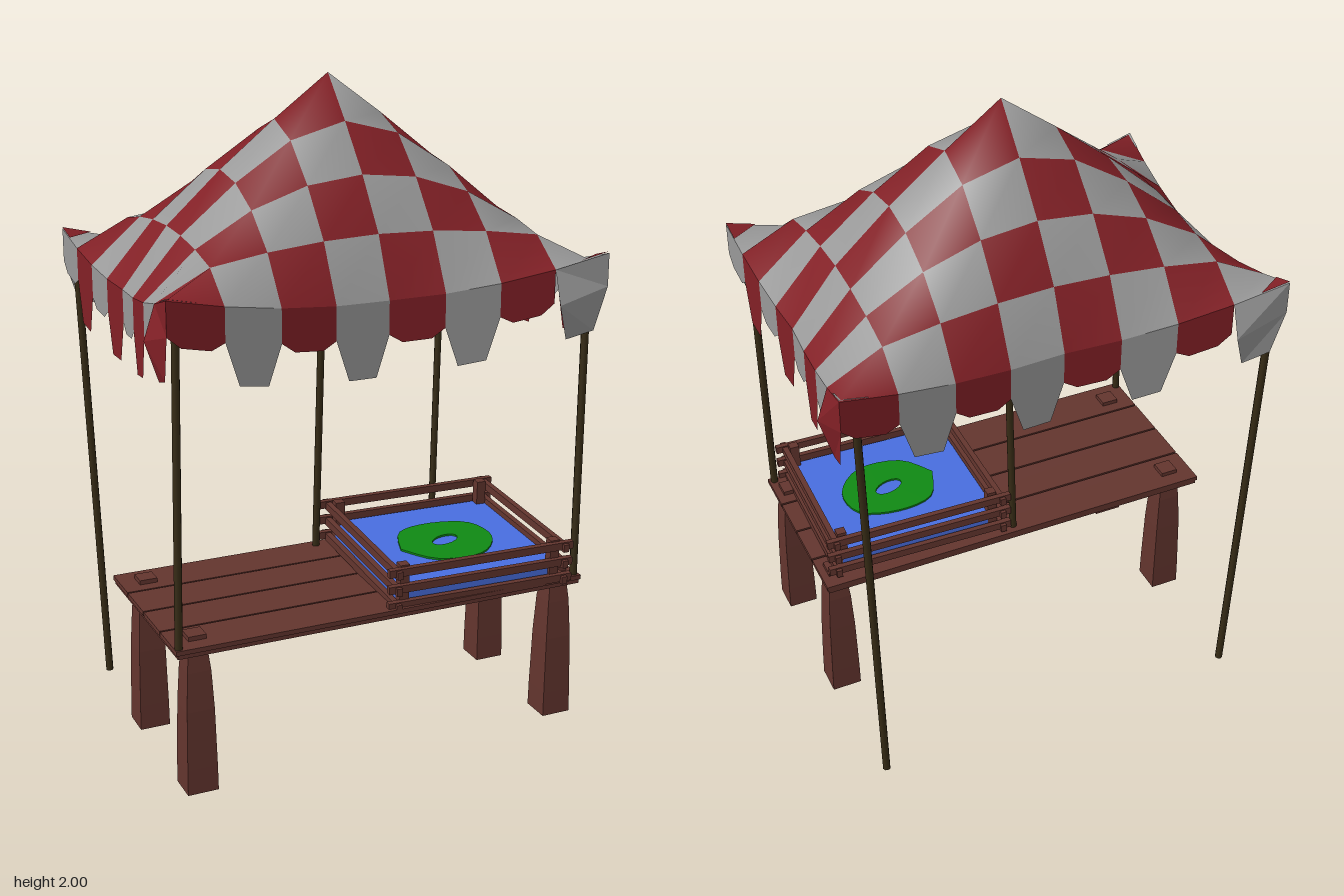
import * as THREE from 'three';

const mat = (color, side = THREE.FrontSide) => new THREE.MeshStandardMaterial({ color, side });
const wood = mat(0x63352e);
wood.flatShading = true;
const poleWood = mat(0x362b15), blue = mat(0x486ee0), green = mat(0x108a14, THREE.DoubleSide);
const cloth = [mat(0x999999, THREE.DoubleSide), mat(0x822026, THREE.DoubleSide)]; // grey, red
const clothNames = ['Grey', 'Red'];

function add(parent, name, geometry, material, x = 0, y = 0, z = 0) {
  const mesh = new THREE.Mesh(geometry, material);
  mesh.name = name;
  mesh.position.set(x, y, z);
  parent.add(mesh);
  return mesh;
}
const box = (parent, name, w, h, d, x, y, z, m = wood) =>
  add(parent, name, new THREE.BoxGeometry(w, h, d), m, x, y, z);

// Straight pole between two points
function pole(parent, name, from, to) {
  const a = new THREE.Vector3(...from), b = new THREE.Vector3(...to);
  const mesh = add(parent, name, new THREE.CylinderGeometry(0.012, 0.012, a.distanceTo(b), 8), poleWood);
  mesh.position.copy(a).lerp(b, 0.5);
  mesh.quaternion.setFromUnitVectors(new THREE.Vector3(0, 1, 0), b.sub(a).normalize());
}

// Canopy surface for u, v in -1..1: peak in the middle, raised corners, sagging hollow edges
const axisY = [2, 1.875, 1.74, 1.59, 1.415], diagonalY = [2, 1.83, 1.665, 1.545, 1.5];
function sample(list, t) {
  const i = Math.min(3, Math.floor(t * 4));
  return THREE.MathUtils.lerp(list[i], list[i + 1], t * 4 - i);
}
function canopyPoint(u, v) {
  const au = Math.abs(u), av = Math.abs(v), a = Math.max(au, av);
  const k = a > 0 ? Math.min(au, av) / a : 0;
  return new THREE.Vector3(
    Math.sign(u) * (0.68 * au - 0.035 * (1 - av) * au ** 8),
    THREE.MathUtils.lerp(sample(axisY, a), sample(diagonalY, a), k * k),
    Math.sign(v) * (0.485 * av - 0.06 * (1 - au) * av ** 5));
}

function polygons(list) {
  const pos = [];
  for (const p of list)
    for (let i = 1; i < p.length - 1; i++)
      for (const q of [p[0], p[i], p[i + 1]]) pos.push(q.x, q.y, q.z);
  const g = new THREE.BufferGeometry();
  g.setAttribute('position', new THREE.Float32BufferAttribute(pos, 3));
  g.computeVertexNormals();
  return g;
}

function buildCanopy() {
  const group = new THREE.Group();
  group.name = 'canopy';

  // Checkered roof: one smooth sheet split by cell colour
  const sheet = new THREE.PlaneGeometry(2, 2, 8, 8).rotateX(-Math.PI / 2);
  const pos = sheet.attributes.position;
  for (let i = 0; i < pos.count; i++) {
    const p = canopyPoint(pos.getX(i), pos.getZ(i));
    pos.setXYZ(i, p.x, p.y, p.z);
  }
  sheet.computeVertexNormals();
  const cells = [[], []];
  for (let j = 0; j < 8; j++)
    for (let i = 0; i < 8; i++) {
      const k = (j * 8 + i) * 6;
      cells[(i + j) % 2].push(...sheet.index.array.slice(k, k + 6));
    }
  cells.forEach((index, c) => {
    const g = sheet.clone();
    g.setIndex(index);
    add(group, 'roof' + clothNames[c], g, cloth[c]);
  });

  // Hanging flags along the four edges, each in the colour of the cell above
  const flags = [[], []], patches = [[], []];
  for (const alongX of [true, false])
    for (const s of [-1, 1]) {
      const out = alongX ? new THREE.Vector3(0, 0, s) : new THREE.Vector3(s, 0, 0);
      const twist = alongX ? 0.75 * s : -0.75 * s; // one corner flag per edge twists outwards
      const hang = (t, drop, push = 0) => {
        const p = alongX ? canopyPoint(t, s) : canopyPoint(s, t);
        p.y -= drop;
        return p.addScaledVector(out, push);
      };
      for (let i = 0; i < 8; i++) {
        const t0 = -1 + i / 4, t1 = t0 + 0.25;
        const color = (i + (s > 0 ? 7 : 0)) % 2;
        // Grey flags hang long at front and back, red ones at the sides
        const drop = color === (alongX ? 0 : 1) ? 0.22 : 0.125;
        const push = t => (t === twist && (i === 0 || i === 7) ? 0.033 : 0);
        const c = hang(t1, 0.1, push(t1)), d = hang(t0, 0.1, push(t0));
        flags[color].push([hang(t0, 0), hang(t1, 0), c, d],
          [d, c, hang(t1 - 0.06, drop), hang(t0 + 0.06, drop)]);
      }
    }

  // Small triangles of the other colour on the corners
  for (const u of [-1, 1])
    for (const v of [-1, 1]) {
      const tri = [canopyPoint(u, v), canopyPoint(u, v * 0.87), canopyPoint(u * 0.87, v)];
      tri.forEach(p => { p.y += 0.005; });
      if (u !== v) tri.reverse();
      patches[u === v ? 1 : 0].push(tri);
    }
  for (const c of [0, 1]) {
    add(group, 'flags' + clothNames[c], polygons(flags[c]), cloth[c]);
    add(group, 'cornerPatches' + clothNames[c], polygons(patches[c]), cloth[c]);
  }
  return group;
}

function buildTable() {
  const group = new THREE.Group();
  group.name = 'table';
  box(group, 'tableBase', 1.3, 0.014, 0.575, -0.025, 0.476, 0.2);
  for (let i = 0; i < 4; i++)
    box(group, 'tablePlank', 1.31, 0.014, 0.141, -0.025, 0.489, -0.02 + i * 0.147);

  // Square tapered legs whose tops come through the planks as pegs
  const legProfile = [[0.047, 0.02], [0.046, 0.1], [0.042, 0.28], [0.036, 0.4], [0.026, 0.49]]
    .map(([r, y]) => new THREE.Vector2(r * Math.SQRT2, y));
  legProfile.unshift(new THREE.Vector2(0, 0.02));
  for (const x of [-0.6, 0.58])
    for (const z of [-0.015, 0.415]) {
      add(group, 'leg', new THREE.LatheGeometry(legProfile, 4, Math.PI / 4), wood, x, 0, z);
      box(group, 'legPeg', 0.055, 0.025, 0.055, x, 0.497, z);
    }
  return group;
}

function buildTray() {
  const group = new THREE.Group();
  group.name = 'tray';
  group.position.set(0.295, 0.5, 0.21);
  group.rotation.set(0.04, -0.03, 0);

  // Corner posts and three slatted rails on each side
  for (const x of [-0.25, 0.25])
    for (const z of [-0.24, 0.25]) box(group, 'trayPost', 0.03, 0.134, 0.03, x, 0.068, z);
  for (const y of [0.012, 0.065, 0.118])
    for (const s of [-1, 1]) {
      box(group, 'trayLongRail', 0.61, 0.024, 0.018, 0, y, s * 0.27);
      box(group, 'traySideRail', 0.018, 0.024, 0.58, s * 0.276, y - 0.004, 0);
    }

  // Blue filling with a green ring patch
  box(group, 'trayFilling', 0.53, 0.045, 0.51, 0, 0.035, 0, blue);
  const outline = [[-0.15, -0.02], [-0.1, 0.1], [0.02, 0.13], [0.14, 0.09], [0.16, -0.03], [0.07, -0.13], [-0.07, -0.12]];
  const patch = new THREE.Shape(new THREE.SplineCurve(
    [...outline, outline[0]].map(p => new THREE.Vector2(...p))).getPoints(28));
  const hole = new THREE.Path();
  hole.absellipse(0.01, 0, 0.05, 0.028, 0, Math.PI * 2, true, 0.4);
  patch.holes.push(hole);
  const g = new THREE.ExtrudeGeometry(patch, { depth: 0.006, bevelEnabled: false, curveSegments: 8 });
  add(group, 'greenPatch', g.rotateX(-Math.PI / 2), green, 0, 0.058, 0);
  return group;
}

export function createModel() {
  const model = new THREE.Group();
  model.name = 'marketStall';
  model.add(buildCanopy(), buildTable(), buildTray());

  // Front poles stand on the table, back poles on the ground, one centre pole to the peak
  pole(model, 'frontPole', [-0.668, 0.48, 0.475], [-0.645, 1.47, 0.455]);
  pole(model, 'frontPole', [0.612, 0.48, 0.475], [0.628, 1.47, 0.455]);
  pole(model, 'backPole', [-0.602, 0.005, -0.437], [-0.65, 1.47, -0.458]);
  pole(model, 'backPole', [0.59, 0.015, -0.437], [0.63, 1.47, -0.458]);
  pole(model, 'centrePole', [-0.016, 0.48, -0.06], [0, 1.96, 0]);
  return model;
}
